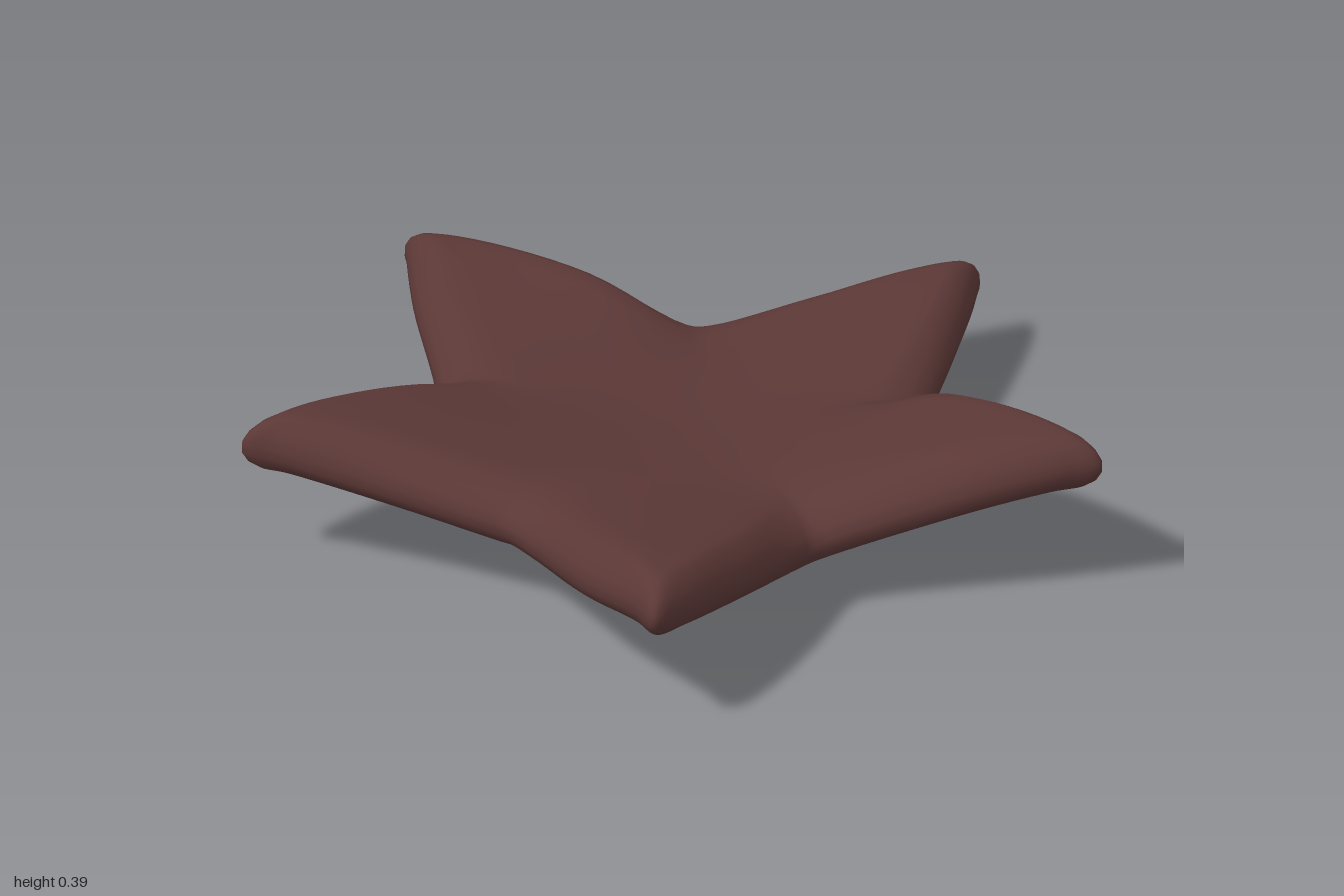
import * as THREE from 'three';

// Outline of the star as [x, rim height, z], clockwise seen from above
const OUTLINE = [
  [0, 0.18, -1], [0.06, 0.18, -0.92], [0.19, 0.165, -0.67], [0.31, 0.15, -0.43], [0.35, 0.155, -0.385],
  [0.62, 0.265, -0.31], [0.9, 0.315, -0.235], [0.985, 0.32, -0.2], [0.94, 0.315, -0.13],
  [0.82, 0.28, 0.01], [0.56, 0.175, 0.27], [0.545, 0.17, 0.32],
  [0.6, 0.232, 0.62], [0.64, 0.285, 0.9], [0.633, 0.295, 0.995], [0.55, 0.292, 0.965], [0.32, 0.245, 0.865],
  [0.06, 0.2, 0.725], [-0.03, 0.2, 0.7], [-0.08, 0.205, 0.71],
  [-0.33, 0.25, 0.785], [-0.57, 0.295, 0.87], [-0.635, 0.3, 0.89], [-0.64, 0.295, 0.81], [-0.605, 0.255, 0.55],
  [-0.56, 0.195, 0.3], [-0.57, 0.195, 0.26], [-0.83, 0.25, 0.01], [-0.95, 0.275, -0.12],
  [-0.985, 0.275, -0.165], [-0.9, 0.27, -0.22], [-0.62, 0.24, -0.31], [-0.36, 0.155, -0.39], [-0.32, 0.15, -0.43],
  [-0.19, 0.165, -0.67], [-0.06, 0.18, -0.92],
];
const STEPS = 6;                            // samples between outline points
const INSET = 0.13;                         // width of the rounded rim
const HALF = 0.072;                         // half thickness at the rim
const ARC = [Math.PI / 2, -Math.PI * 0.38]; // rim rounding, from top to underside
const SCALES = [0.1, 0.22, 0.36, 0.5, 0.64, 0.77, 0.89];

// Heights to pass through, as [x, z, height]
const UPPER = [[0, 0, 0.205]];
const UNDER = [
  [-0.07, -0.1, 0.003], [0.5, -0.06, 0.105], [-0.5, -0.06, 0.098], [0, 0.35, 0.065],
  [0.42, 0.63, 0.135], [-0.42, 0.6, 0.135], [0, -0.5, 0.055],
];

// Smooth surface spanned by a closed edge and sunk to pass through the anchors
function dish(edge, anchors, width) {
  const n = edge.length;
  const bumps = (x, z) => anchors.map(a => Math.exp(-((x - a[0]) ** 2 + (z - a[1]) ** 2) / width ** 2));
  const edgeBumps = edge.map(p => bumps(p.x, p.z));
  // Mean value interpolation of the edge, and the bumps flattened to zero along it
  const basis = (x, z) => {
    const local = bumps(x, z), far = anchors.map(() => 0);
    let sum = 0, y = 0;
    edge.forEach((p, i) => {
      const a = edge[(i + n - 1) % n], b = edge[(i + 1) % n];
      const dx = p.x - x, dz = p.z - z;
      const w = (dx * (b.z - a.z) - dz * (b.x - a.x)) / Math.hypot(dx, dz) ** 3;
      sum += w;
      y += w * p.y;
      edgeBumps[i].forEach((e, j) => { far[j] += w * e; });
    });
    return { y: y / sum, k: local.map((v, j) => v - far[j] / sum) };
  };
  const gains = anchors.map(() => 0);
  const height = ({ y, k }) => k.reduce((s, v, j) => s + v * gains[j], y);
  const rows = anchors.map(a => basis(a[0], a[1]));
  for (let pass = 0; pass < 60; pass++) {
    anchors.forEach((a, j) => { gains[j] += (a[2] - height(rows[j])) / rows[j].k[j]; });
  }
  return (x, z) => height(basis(x, z));
}

function starGeometry() {
  const curve = new THREE.CatmullRomCurve3(OUTLINE.map(p => new THREE.Vector3(...p)), true, 'centripetal');
  const n = OUTLINE.length * STEPS;
  const outline = Array.from({ length: n }, (_, i) => curve.getPoint(i / n));

  // Rounded rim: rings around the edge from top to underside
  const rim = Array.from({ length: 9 }, (_, k) => {
    const a = THREE.MathUtils.lerp(ARC[0], ARC[1], k / 8);
    return outline.map(p => {
      const s = 1 - INSET * (1 - Math.cos(a)) / Math.hypot(p.x, p.z);
      return new THREE.Vector3(p.x * s, p.y + HALF * Math.sin(a), p.z * s);
    });
  });

  // Dished upper face and bowl-shaped underside
  const fill = (edge, height) => SCALES.map(s =>
    edge.map(p => new THREE.Vector3(p.x * s, height(p.x * s, p.z * s), p.z * s)));
  const upper = dish(rim[0], UPPER, 0.6);
  const under = dish(rim[8], UNDER, 0.32);
  const rings = [...fill(rim[0], upper), ...rim, ...fill(rim[8], under).reverse()];
  const points = [new THREE.Vector3(0, upper(0, 0), 0), ...rings.flat(), new THREE.Vector3(0, under(0, 0), 0)];

  const index = [], last = points.length - 1, end = rings.length - 1;
  const at = (r, i) => 1 + r * n + i % n;
  for (let i = 0; i < n; i++) {
    index.push(0, at(0, i + 1), at(0, i));
    for (let r = 0; r < end; r++) {
      const a = at(r, i), b = at(r, i + 1), c = at(r + 1, i + 1), d = at(r + 1, i);
      index.push(a, c, d, a, b, c);
    }
    index.push(last, at(end, i), at(end, i + 1));
  }
  const g = new THREE.BufferGeometry().setFromPoints(points);
  g.setIndex(index);
  g.computeVertexNormals();
  return g;
}

export function createModel() {
  const group = new THREE.Group();
  group.name = 'star';
  const brown = new THREE.MeshStandardMaterial({ color: 0x5b3836 });
  brown.name = 'dark reddish brown';
  const body = new THREE.Mesh(starGeometry(), brown);
  body.name = 'starBody';
  group.add(body);
  return group;
}
